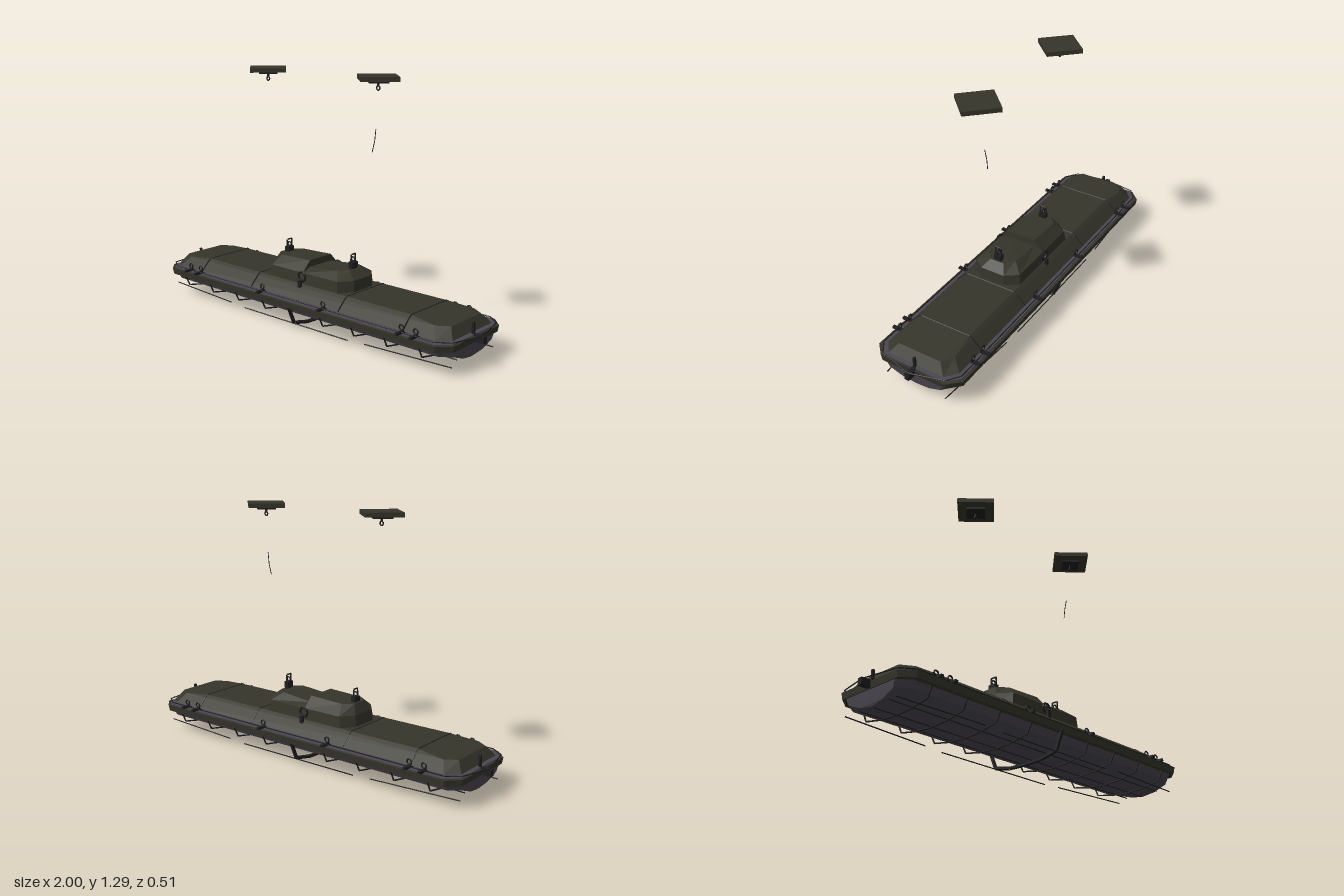
import * as THREE from 'three';

const mat = (name, color) => {
  const m = new THREE.MeshStandardMaterial({ color, flatShading: true });
  m.name = name;
  return m;
};

export function createModel() {
  const root = new THREE.Group();
  root.name = 'coveredBarge';
  const canvas = mat('olive canvas', 0x36352b);
  const hullGray = mat('hull gray', 0x4b4751);
  const iron = mat('dark iron', 0x1f1e20);

  const add = (geo, material, name, parent = root) => {
    const mesh = new THREE.Mesh(geo, material);
    mesh.name = name;
    parent.add(mesh);
    return mesh;
  };
  const group = (name) => {
    const g = new THREE.Group();
    g.name = name;
    root.add(g);
    return g;
  };

  // Closed solid through equal-length rings, bottom to top, counterclockwise from above
  const loft = (rings) => {
    const pos = [];
    const tri = (a, b, c) => pos.push(...a, ...b, ...c);
    const n = rings[0].length;
    for (let k = 0; k < rings.length - 1; k++) {
      for (let i = 0; i < n; i++) {
        const j = (i + 1) % n, lo = rings[k], hi = rings[k + 1];
        tri(lo[i], lo[j], hi[j]);
        tri(lo[i], hi[j], hi[i]);
      }
    }
    const bottom = rings[0], top = rings[rings.length - 1];
    for (let i = 1; i < n - 1; i++) {
      tri(bottom[0], bottom[i + 1], bottom[i]);
      tri(top[0], top[i], top[i + 1]);
    }
    const geo = new THREE.BufferGeometry();
    geo.setAttribute('position', new THREE.Float32BufferAttribute(pos, 3));
    geo.computeVertexNormals();
    return geo;
  };
  // Octagonal ring with half length l, half width w and cut corners
  const oct = (y, l, w, cut = 0.06, keep = 0.76) => {
    const e = w * keep, m = l - cut;
    return [[l, y, e], [l, y, -e], [m, y, -w], [-m, y, -w], [-l, y, -e], [-l, y, e], [-m, y, w], [m, y, w]];
  };
  // Straight-jointed bar along a list of points
  const bars = (points, r, name, parent, material = iron) => {
    const path = new THREE.CurvePath();
    const v = points.map((p) => new THREE.Vector3(...p));
    for (let i = 0; i < v.length - 1; i++) {
      path.curves = [new THREE.LineCurve3(v[i], v[i + 1])];
      path.cacheLengths = null;
      add(new THREE.TubeGeometry(path.curves[0], 1, r, 5), material, name, parent);
    }
  };
  const box = (w, h, d, x, y, z, name, parent, material = iron) => {
    const b = add(new THREE.BoxGeometry(w, h, d), material, name, parent);
    b.position.set(x, y, z);
    return b;
  };
  const ring = (r, tube, x, y, z, name, parent) => {
    const t = add(new THREE.TorusGeometry(r, tube, 5, 10), iron, name, parent);
    t.position.set(x, y, z);
    return t;
  };

  // Hull, gunwale, deck and canvas cover
  add(loft([oct(0.045, 0.93, 0.012), oct(0.056, 0.935, 0.1), oct(0.085, 0.94, 0.195), oct(0.121, 0.945, 0.215)]), hullGray, 'hull');
  add(loft([oct(0.118, 0.95, 0.24), oct(0.15, 0.955, 0.245)]), canvas, 'gunwale');
  add(loft([oct(0.15, 0.945, 0.232), oct(0.154, 0.945, 0.232)]), hullGray, 'deck');
  add(loft([oct(0.162, 0.93, 0.207), oct(0.211, 0.895, 0.158), oct(0.224, 0.69, 0.14, 0.01, 0.97)]), canvas, 'cover');

  // Cabin in two halves with folded roofs
  const half = (s, y, l, w, yMid = y) => {
    const m = l - 0.05, e = w * 0.5;
    return [[0, yMid, w], [m, y, w], [l, y, e], [l, y, -e], [m, y, -w], [0, yMid, -w]]
      .map(([x, h, z]) => [s * x, h, s * z]);
  };
  add(loft([half(-1, 0.215, 0.28, 0.138), half(-1, 0.28, 0.27, 0.132), half(-1, 0.328, 0.245, 0.08, 0.335)]), canvas, 'tallCabin');
  add(loft([half(1, 0.215, 0.285, 0.138), half(1, 0.28, 0.28, 0.132), half(1, 0.318, 0.235, 0.08, 0.3)]), canvas, 'lowCabin');

  // Straps over the cover
  const straps = group('coverStraps');
  for (const x of [-0.69, -0.3, 0.3, 0.69]) {
    bars([[x, 0.162, 0.207], [x, 0.211, 0.158], [x, 0.223, 0.14], [x, 0.223, -0.14], [x, 0.211, -0.158], [x, 0.162, -0.207]], 0.004, 'coverStrap', straps);
  }

  // Ribs and stringers beneath the hull
  const cage = group('hullCage');
  const under = (x, r, pts, name) => {
    const side = pts.map(([z, y]) => [x, y, z]);
    const other = pts.slice(0, -1).reverse().map(([z, y]) => [x, y, -z]);
    bars([...side, ...other], r, name, cage);
  };
  for (let i = -4; i <= 4; i++) {
    if (i) under(i * 0.2, 0.004, [[0.232, 0.12], [0.205, 0.065], [0.1, 0.046], [0, 0.039]], 'rib');
  }
  under(0, 0.01, [[0.238, 0.125], [0.2, 0.035], [0.1, 0.014], [0, 0.01]], 'centreStrap');
  for (const [z, y] of [[0, 0.043], [0.1, 0.053], [-0.1, 0.053]]) {
    bars([[-0.92, y, z], [0.92, y, z]], 0.003, 'stringer', cage);
  }
  for (const z of [-0.2, 0.2]) {
    bars([[-0.36, 0.03, z], [0.36, 0.03, z]], 0.003, 'lowerRope', cage);
    for (const s of [-1, 1]) bars([[s * 0.46, 0.037, z], [s * 0.94, 0.042, z * 0.85]], 0.003, 'lowerRope', cage);
  }

  // Side fittings, hand ropes and end hooks
  const fittings = group('fittings');
  for (const s of [-1, 1]) {
    for (const x of [-0.77, -0.69, -0.21, 0.21, 0.69, 0.77]) {
      box(0.016, 0.012, 0.07, x, 0.16, s * 0.222, 'cleat', fittings);
      ring(0.013, 0.004, x, 0.182, s * 0.215, 'shackle', fittings);
    }
    bars([[-0.88, 0.163, s * 0.226], [0.88, 0.163, s * 0.226]], 0.003, 'handRope', fittings);
    // Rings on the cabin sides
    ring(0.024, 0.006, 0, 0.262, s * 0.14, 'cabinRing', fittings);
    box(0.02, 0.06, 0.012, 0, 0.215, s * 0.155, 'ringPost', fittings);
    // Ends
    bars([[s * 0.88, 0.163, 0.226], [s * 0.945, 0.163, 0.18], [s * 0.985, 0.155, 0.01], [s * 0.985, 0.155, -0.01], [s * 0.945, 0.163, -0.18], [s * 0.88, 0.163, -0.226]], 0.003, 'endRope', fittings);
    box(0.06, 0.034, 0.024, s * 0.97, 0.138, 0, 'endHook', fittings);
    box(0.012, 0.06, 0.012, s * 0.935, 0.18, 0, 'endPost', fittings);
    // Roof lifting frame
    const x = s * 0.22;
    bars([[x, 0.315, 0.018], [x, 0.393, 0.016], [x, 0.393, -0.016], [x, 0.315, -0.018]], 0.004, 'liftFrame', fittings);
    box(0.026, 0.034, 0.04, x, 0.338, 0, 'liftBase', fittings);
    ring(0.012, 0.004, x, 0.366, 0, 'liftRing', fittings);
  }

  // Overhead square plates with hooks
  for (const s of [-1, 1]) {
    const plate = group(s < 0 ? 'rightOverheadPlate' : 'leftOverheadPlate');
    plate.position.set(s * 0.365, 0, 0);
    box(0.184, 0.022, 0.184, 0, 1.275, 0, 'plate', plate, canvas).rotation.y = Math.PI / 4;
    box(0.095, 0.013, 0.095, 0, 1.259, 0, 'plateMount', plate).rotation.y = Math.PI / 4;
    box(0.008, 0.02, 0.008, 0, 1.245, 0, 'hookShank', plate);
    ring(0.01, 0.004, 0, 1.227, 0, 'hook', plate);
  }

  // Loose hanging cord
  bars([[0.322, 0.915, -0.014], [0.333, 0.97, -0.018], [0.343, 1.03, -0.014]], 0.002, 'cord', root);
  return root;
}
